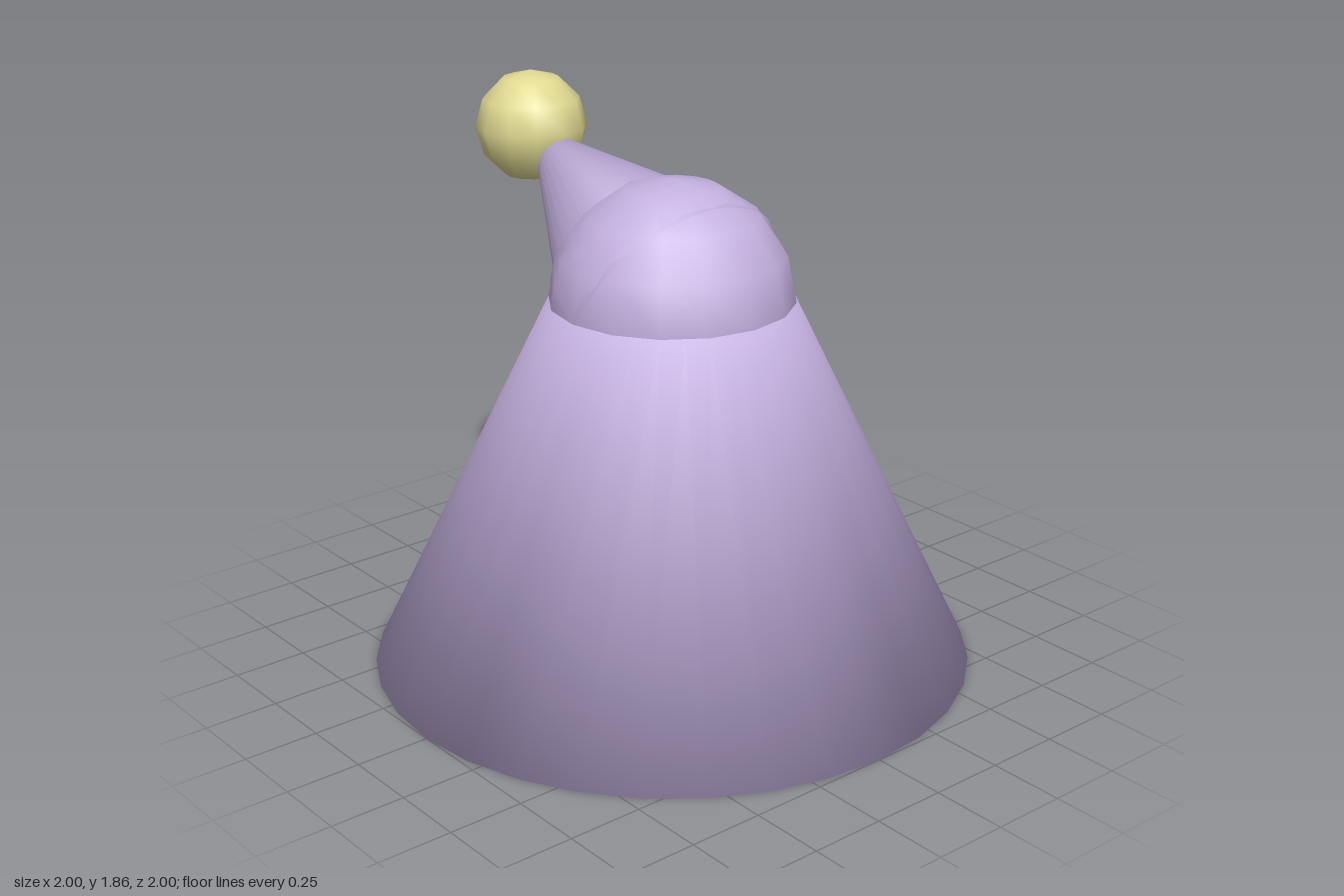
import * as THREE from 'three';

const purple = new THREE.MeshStandardMaterial({ color: 0xc5b2e1 });
purple.name = 'lilacCloth';
const yellow = new THREE.MeshStandardMaterial({ color: 0xe1da92 });
yellow.name = 'paleYellow';

function part(name, geometry, material, parent) {
  const mesh = new THREE.Mesh(geometry, material);
  mesh.name = name;
  parent.add(mesh);
  return mesh;
}

// Closed cone standing on y = 0, with normals blended softly across its rims
function softCone(topRadius, bottomRadius, height) {
  const g = new THREE.CylinderGeometry(topRadius, bottomRadius, height, 32);
  g.translate(0, height / 2, 0);
  const p = g.attributes.position, n = g.attributes.normal;
  for (let i = 0; i < p.count; i++) {
    const x = p.getX(i), z = p.getZ(i), r = Math.hypot(x, z);
    const top = p.getY(i) > height / 2;
    const out = r < 1e-4 ? 0 : (top ? 0.55 : 0.857) / r;
    n.setXYZ(i, x * out, top ? 0.83 : -0.515, z * out);
  }
  return g;
}

const halfDome = () => new THREE.SphereGeometry(0.4, 16, 4, 0, Math.PI * 2, 0, Math.PI / 2);

export function createModel() {
  const model = new THREE.Group();
  model.name = 'floppyHat';

  // Wide lower cone with its rounded top
  part('hatBody', softCone(0.4, 1, 1.24), purple, model);
  part('bendDome', halfDome(), purple, model).position.y = 1.24;

  // Tip folded over to the right, 30 degrees above level
  const tip = new THREE.Group();
  tip.name = 'foldedTip';
  tip.position.y = 1.24;
  tip.rotation.z = Math.PI / 3;
  part('foldDome', halfDome(), purple, tip);
  part('tipCone', softCone(0.01, 0.4, 0.84), purple, tip);
  model.add(tip);

  // Bobble on the end of the tip
  const bobble = part('bobble', new THREE.SphereGeometry(0.19, 12, 6), yellow, model);
  bobble.position.set(-0.745, 1.67, 0);

  return model;
}
